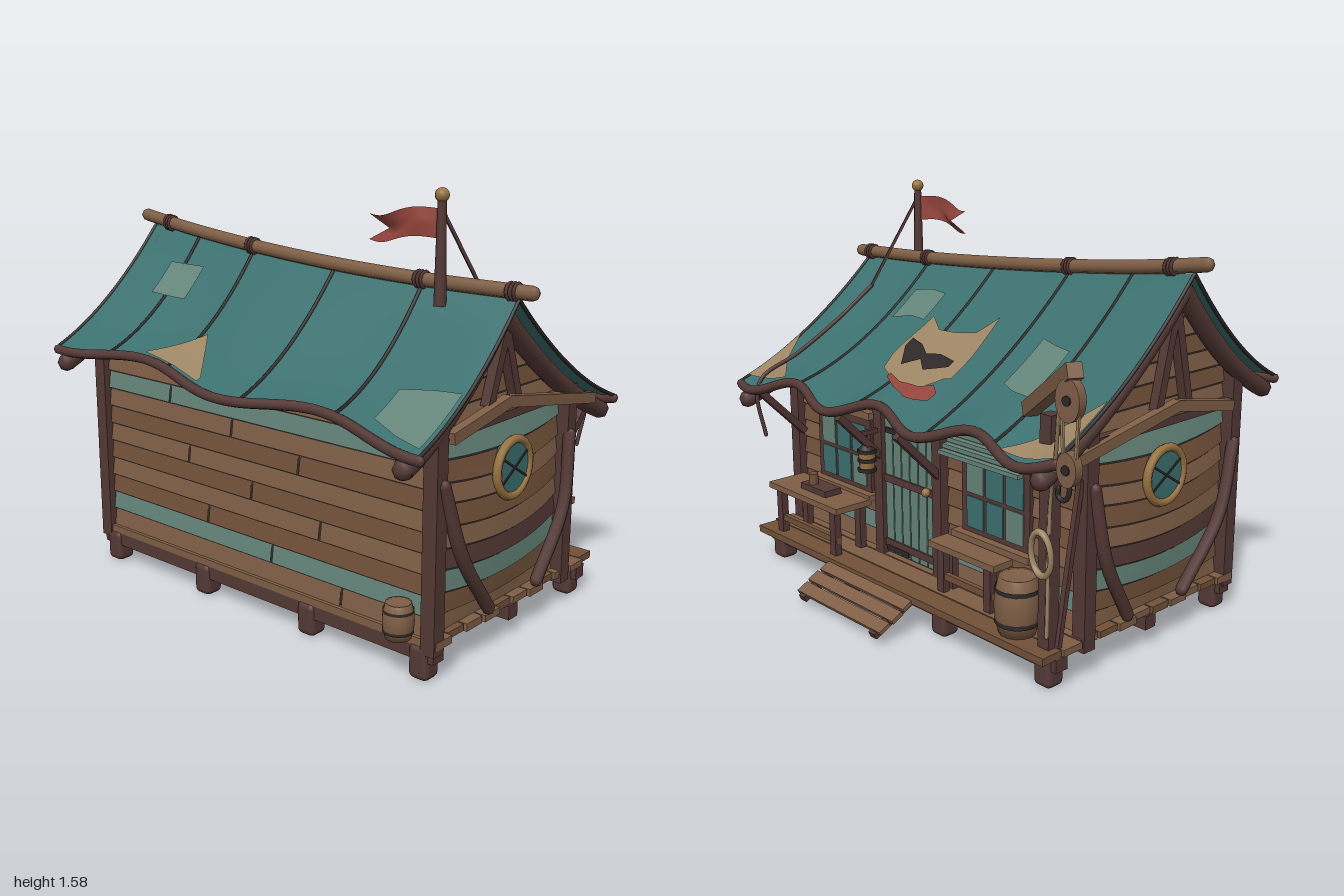
import * as THREE from 'three';
import { RoundedBoxGeometry } from 'three/addons/geometries/RoundedBoxGeometry.js';

const paint = (name, color) => {
  const m = new THREE.MeshStandardMaterial({ color, side: THREE.DoubleSide });
  m.name = name;
  return m;
};
const M = {
  teal: paint('roof teal', 0x3b706f), pale: paint('pale teal', 0x648479), wood: paint('warm wood', 0x7f5f46),
  wood2: paint('brown wood', 0x725239), dark: paint('dark wood', 0x543935), cloth: paint('tan cloth', 0x9c8563),
  gold: paint('brass', 0x9a7340), red: paint('flag red', 0x93443b), black: paint('soot', 0x2e2928),
};
const V = (x, y, z) => new THREE.Vector3(x, y, z);
const { lerp, clamp } = THREE.MathUtils;

// Roof rules: a sagging sheet between a rising ridge and two wavy eaves
const BACK = -0.83, FRONT = 0.95;
const along = z => clamp((FRONT - z) / (FRONT - BACK), 0, 1);
const ridgeX = z => -0.145 - 0.03 * Math.sin(Math.PI * along(z));
const ridgeY = z => 1.235 + 0.12 * along(z) ** 1.9;
const wave = (s, z) => s > 0 ? Math.cos(2 * Math.PI * (z - 0.35) / 0.52) : Math.cos(2 * Math.PI * (z - 0.93) / 0.87);
const eaveX = (s, z) => s > 0 ? 0.53 + 0.025 * wave(s, z) : -0.64 - 0.03 * wave(s, z);
function roofY(x, z) {
  const s = x > ridgeX(z) ? 1 : -1, k = along(z);
  const t = clamp((x - ridgeX(z)) / (eaveX(s, z) - ridgeX(z)), 0, 1);
  const eave = s > 0 ? 0.8 + 0.04 * k : 0.845 + 0.09 * k;
  return lerp(ridgeY(z), eave, t) - 0.22 * t * (1 - t) - (s > 0 ? 0.03 : 0.02) * wave(s, z) * t * t;
}

export function createModel() {
  const root = new THREE.Group();
  root.name = 'cottage';
  const add = (name, geo, mat, x = 0, y = 0, z = 0) => {
    const m = new THREE.Mesh(geo, mat);
    m.name = name;
    m.position.set(x, y, z);
    root.add(m);
    return m;
  };
  const box = (name, mat, x0, x1, y0, y1, z0, z1) =>
    add(name, new THREE.BoxGeometry(x1 - x0, y1 - y0, z1 - z0), mat, (x0 + x1) / 2, (y0 + y1) / 2, (z0 + z1) / 2);
  const bar = (name, mat, a, b, w, h = w) => {
    const m = add(name, new THREE.BoxGeometry(w, h, a.distanceTo(b)), mat);
    m.position.copy(a).lerp(b, 0.5);
    m.lookAt(b);
    return m;
  };
  const tube = (name, mat, pts, r, n = 24, sides = 8) => {
    add(name, new THREE.TubeGeometry(new THREE.CatmullRomCurve3(pts), n, r, sides), mat);
    for (const p of [pts[0], pts[pts.length - 1]]) add(name + 'End', new THREE.SphereGeometry(r, 8, 4), mat, p.x, p.y, p.z);
  };
  // Grid surface from a rule f(u, v)
  const sheet = (name, mat, f, nu, nv) => {
    const pos = [], idx = [];
    for (let j = 0; j <= nv; j++) for (let i = 0; i <= nu; i++) pos.push(...f(i / nu, j / nv));
    for (let j = 0; j < nv; j++) for (let i = 0; i < nu; i++) {
      const a = j * (nu + 1) + i, b = a + nu + 1;
      idx.push(a, b, a + 1, b, b + 1, a + 1);
    }
    const g = new THREE.BufferGeometry();
    g.setAttribute('position', new THREE.Float32BufferAttribute(pos, 3));
    g.setIndex(idx);
    g.computeVertexNormals();
    return add(name, g, mat);
  };

  // Cloth roof, edge trims and rafters
  for (const s of [-1, 1]) {
    sheet('roof', M.teal, (u, v) => {
      const z = lerp(FRONT, BACK, v), x = lerp(ridgeX(z), eaveX(s, z), u) + s * 1e-5;
      return [x, roofY(x, z), z];
    }, 14, 64);
    const line = (z, dy, n = 8) => Array.from({ length: n + 1 }, (_, i) => {
      const x = lerp(ridgeX(z), eaveX(s, z), i / n) + s * 1e-5;
      return V(x, roofY(x, z) + dy, z);
    });
    tube('eaveTrim', M.dark, Array.from({ length: 40 }, (_, i) => {
      const z = lerp(FRONT, BACK, i / 39), x = eaveX(s, z);
      return V(x, roofY(x, z) - 0.012, z);
    }), 0.019, 80);
    for (const z of [FRONT, BACK]) tube('roofHem', M.black, line(z, 0), 0.007, 24, 6);
    for (const z of [0.89, -0.78]) tube('rafter', M.dark, line(z, -0.055), 0.036);
    for (const z of [0.57, 0.18, -0.235, -0.55]) tube('roofSeam', M.black, line(z, 0), 0.007, 24, 5);
  }
  // Ridge pole with lashings
  const ridgeAt = z => V(ridgeX(z), ridgeY(z) + 0.025, z);
  tube('ridgePole', M.wood, [1, 0.6, 0.2, -0.2, -0.6, -0.88].map(z => ridgeAt(z).add(V(0, z < -0.83 ? 0.01 : 0, 0))), 0.026);
  for (const z of [0.93, 0.57, -0.235, -0.73]) for (const d of [-0.014, 0, 0.014]) {
    const p = ridgeAt(z + d);
    add('lashing', new THREE.TorusGeometry(0.027, 0.007, 5, 14), M.dark, p.x, p.y, p.z);
  }
  // Cloth patches given as rows of [z, x0, x1] laid on the roof
  const patch = (name, mat, rows, lift = 0.01) => sheet(name, mat, (u, v) => {
    const f = v * (rows.length - 1), i = Math.min(Math.floor(f), rows.length - 2), t = f - i;
    const [z, x0, x1] = rows[i].map((n, k) => lerp(n, rows[i + 1][k], t));
    const x = lerp(x0, x1, u);
    return [x, roofY(x, z) + lift, z];
  }, 8, (rows.length - 1) * 6);
  patch('palePatch', M.pale, [[-0.51, 0.12, 0.32], [-0.42, 0.1, 0.31], [-0.345, 0.08, 0.28]]);
  patch('palePatch', M.pale, [[0.33, -0.05, 0.07], [0.42, -0.06, 0.06], [0.52, -0.05, 0.08]]);
  patch('palePatch', M.pale, [[-0.62, -0.36, -0.25], [-0.44, -0.35, -0.24]]);
  patch('palePatch', M.pale, [[0.71, -0.59, -0.46], [0.83, -0.63, -0.44], [0.935, -0.65, -0.43]]);
  patch('tanPatch', M.cloth, [[-0.38, -0.6, -0.59], [-0.2, -0.62, -0.45], [-0.05, -0.65, -0.63]]);
  patch('tanPatch', M.cloth, [[-0.825, 0.28, 0.53], [-0.7, 0.44, 0.54], [-0.6, 0.53, 0.54]]);
  patch('tanPatch', M.cloth, [[0.945, 0.24, 0.51], [0.85, 0.38, 0.5], [0.7, 0.49, 0.505]]);
  patch('facePatch', M.cloth, [[0.32, 0.19, 0.24], [0.29, 0.05, 0.31], [0.2, 0.1, 0.35], [0.1, 0.1, 0.39],
    [0, 0.09, 0.38], [-0.06, 0.02, 0.31], [-0.09, 0.2, 0.3]], 0.013);
  patch('maskPatch', M.black, [[0.29, 0.16, 0.2], [0.21, 0.18, 0.29], [0.14, 0.22, 0.25], [0.07, 0.21, 0.3], [-0.03, 0.23, 0.26]], 0.018);
  patch('scarfPatch', M.red, [[0.21, 0.34, 0.36], [0.1, 0.385, 0.42], [0, 0.38, 0.45], [-0.05, 0.35, 0.44], [-0.1, 0.38, 0.42]], 0.018);

  // End walls: bulging planks under the roof line
  const bands = [[0.15, M.wood], [0.22, M.wood2], [0.3, M.pale], [0.38, M.dark], [0.455, M.wood], [0.53, M.wood2], [0.61, M.wood],
    [0.68, M.wood2], [0.755, M.pale], [0.84, M.wood], [0.91, M.wood2], [0.98, M.wood], [1.05, M.wood2], [1.12, M.wood], [1.19, M.wood2], [1.26, M.wood], [1.34]];
  for (const dir of [1, -1]) {
    const z0 = dir > 0 ? 0.86 : -0.73;
    const plank = (name, mat, y0, y1, out, nv) => sheet(name, mat, (u, v) => {
      const k = u * 2 - 1, b = 1 - k * k, x = -0.1 + 0.39 * k, y = lerp(y0, y1, v);
      const sag = 0.03 * b * clamp((0.9 - y) / 0.2, 0, 1) * clamp((y - 0.15) / 0.1, 0, 1);
      const bulge = 0.045 * b * Math.sin(Math.PI * clamp((y - 0.15) / 0.75, 0, 1));
      return [x, Math.min(y - sag, roofY(x, z0) - 0.02), z0 + dir * (bulge + out * (1 - v * 0.7))];
    }, 24, nv);
    plank('wallBacking', M.black, 0.15, 1.34, -0.006, 30);
    for (let i = 0; i + 1 < bands.length; i++) plank('endPlank', bands[i][1], bands[i][0], bands[i + 1][0] - 0.008, 0.014, 3);

    // Round window
    const zw = z0 + dir * 0.055;
    add('windowRing', new THREE.TorusGeometry(0.1, 0.016, 8, 28), M.gold, -0.085, 0.645, zw);
    const glass = add('roundGlass', new THREE.CylinderGeometry(0.1, 0.1, 0.03, 28), M.teal, -0.085, 0.645, zw - dir * 0.01);
    glass.rotation.x = Math.PI / 2;
    for (const s of [-1, 1]) bar('windowCross', M.black, V(-0.165, 0.645 - s * 0.05, zw + dir * 0.006), V(-0.005, 0.645 + s * 0.05, zw + dir * 0.006), 0.007);

    // Timber frame of the gable
    const zp = z0 + dir * 0.03, zb = z0 + dir * 0.055, top = ridgeY(z0) - 0.11;
    for (const x of [-0.5, 0.3]) box('cornerPost', M.dark, x - 0.028, x + 0.028, 0.1, roofY(x, z0) - 0.03, zp - 0.028, zp + 0.028);
    tube('curvedBrace', M.dark, [V(-0.49, 0.68, zb), V(-0.4, 0.42, zb + dir * 0.015), V(-0.21, 0.17, zb)], 0.024);
    tube('curvedBrace', M.dark, [V(0.29, 0.68, zb), V(0.24, 0.42, zb + dir * 0.015), V(0.1, 0.17, zb)], 0.024);
    for (const x of [-0.22, -0.05]) bar('gableStrut', M.dark, V(-0.135, top, zp), V(x, 0.88, zp), 0.035);
    bar('tieBeam', M.wood, V(-0.46, 0.83, zb), V(-0.13, 0.89, zb), 0.035, 0.04);
    bar('tieBeam', M.wood, V(-0.14, 0.89, zb), V(0.44, 0.79, zb), 0.035, 0.04);
    box('plate', M.dark, -0.5, 0.3, 0.82, 0.85, zp - 0.02, zp + 0.02);
  }

  // Long side walls
  const tones = [M.wood, M.pale, M.wood2, M.wood, M.wood2, M.wood, M.wood2, M.wood, M.pale, M.wood];
  for (const [x0, s] of [[-0.49, -1], [0.285, 1]]) {
    box('sideBacking', M.black, x0 - 0.004, x0 + 0.004, 0.15, 0.84, -0.73, 0.86);
    tones.forEach((mat, i) => {
      const y0 = 0.15 + i * 0.073, cut = 0.5 - ((i * 0.37) % 1) * 0.9;
      for (const [a, b] of [[-0.73, cut - 0.004], [cut + 0.004, 0.86]]) sheet('sidePlank', mat, (u, v) =>
        [x0 + s * (0.016 - 0.009 * v), y0 + 0.066 * v, lerp(a, b, u)], 1, 1);
    });
  }

  // Deck, beams and feet
  for (let i = 0; i < 11; i++) {
    const x = -0.52 + i * 0.0955;
    box('deckPlank', i % 3 === 1 ? M.wood2 : M.wood, x, x + 0.09, 0.122 + (i % 2) * 0.003, 0.15, -0.79 + (i % 3) * 0.008, 0.92 - (i * 2 % 3) * 0.01);
  }
  for (const x of [-0.49, -0.04, 0.43]) box('floorBeam', M.dark, x - 0.028, x + 0.028, 0.07, 0.123, -0.78, 0.91);
  for (const x of [-0.49, 0.43]) for (const z of [0.85, 0.35, -0.19, -0.72])
    add('foot', new RoundedBoxGeometry(0.08, 0.125, 0.08, 2, 0.022), M.dark, x, 0.063, z);

  // Square windows, door and awning on the porch side
  for (const zc of [0.56, -0.335]) {
    box('windowFrame', M.dark, 0.28, 0.312, 0.36, 0.69, zc - 0.175, zc + 0.175);
    for (let c = 0; c < 3; c++) for (let r = 0; r < 2; r++) {
      const z = zc - 0.102 + c * 0.102, y = 0.455 + r * 0.135;
      box('pane', (c + 2 * r) % 4 === 0 ? M.pale : M.teal, 0.3, 0.316, y - 0.06, y + 0.06, z - 0.044, z + 0.044);
    }
    box('windowSill', M.wood, 0.28, 0.345, 0.35, 0.375, zc - 0.2, zc + 0.2);
    box('windowLintel', M.wood, 0.28, 0.33, 0.685, 0.715, zc - 0.19, zc + 0.19);
  }
  for (let i = 0; i < 4; i++) bar('awningSlat', M.pale, V(0.325 + i * 0.022, 0.745 - i * 0.019, -0.54), V(0.325 + i * 0.022, 0.745 - i * 0.019, -0.13), 0.026, 0.016);
  for (const z of [0.31, -0.04]) box('doorPost', M.dark, 0.28, 0.335, 0.15, 0.86, z - 0.025, z + 0.025);
  box('doorBacking', M.black, 0.28, 0.305, 0.15, 0.75, -0.02, 0.29);
  for (let i = 0; i < 6; i++) box('doorPlank', M.pale, 0.29, 0.318, 0.16, 0.74, -0.012 + i * 0.05, 0.032 + i * 0.05);
  for (const y of [0.2, 0.47]) box('doorRail', M.dark, 0.3, 0.325, y - 0.015, y + 0.015, -0.015, 0.285);
  for (const y of [0.18, 0.67]) box('hinge', M.black, 0.3, 0.328, y - 0.01, y + 0.01, 0.14, 0.27);
  add('doorKnob', new THREE.SphereGeometry(0.018, 10, 8), M.gold, 0.335, 0.475, 0.02);
  box('porchPlate', M.dark, 0.28, 0.33, 0.76, 0.8, -0.73, 0.88);

  // Porch braces, back post and step ramp
  for (const z of [0.85, 0.31, -0.04]) bar('eaveBrace', M.dark, V(0.31, 0.54, z), V(0.52, 0.75, z), 0.028);
  bar('porchPost', M.dark, V(0.445, 0.15, -0.73), V(0.445, 0.96, -0.73), 0.05);
  bar('porchPost', M.dark, V(0.43, 0.15, -0.76), V(0.33, 0.72, -0.76), 0.02);
  for (let i = 0; i < 3; i++) {
    const x = 0.54 + i * 0.055, y = 0.118 - i * 0.028;
    box('stepPlank', M.wood, -0.026, 0.026, -0.008, 0.008, -0.115 - (i % 2) * 0.01, 0.4).position.set(x, y, 0.145);
    root.children[root.children.length - 1].rotation.z = -0.47;
  }
  for (const z of [-0.075, 0.365]) bar('stepRail', M.dark, V(0.5, 0.12, z), V(0.68, 0.035, z), 0.035, 0.025);

  // Table with small things, and a side bench
  const table = (z0, z1, x1, y) => {
    box('tableTop', M.wood, 0.335, x1, y - 0.025, y, z0, z1);
    box('tableStretcher', M.wood2, x1 - 0.04, x1 - 0.02, 0.2, 0.225, z0 + 0.03, z1 - 0.03);
    for (const x of [0.355, x1 - 0.03]) for (const z of [z0 + 0.05, z1 - 0.05]) box('tableLeg', M.dark, x - 0.015, x + 0.015, 0.15, y - 0.02, z - 0.018, z + 0.018);
  };
  table(0.36, 0.83, 0.51, 0.36);
  table(-0.45, -0.1, 0.43, 0.345);
  box('book', M.dark, 0.38, 0.46, 0.36, 0.385, 0.5, 0.67);
  add('mug', new THREE.CylinderGeometry(0.02, 0.02, 0.05, 10), M.wood2, 0.43, 0.405, 0.62);

  // Barrels
  const barrel = (x, y, z, r, h) => {
    const pts = [[0, 0], [0.8, 0], [0.95, 0.25], [1, 0.5], [0.95, 0.75], [0.8, 1], [0.7, 0.97], [0, 0.97]];
    add('barrel', new THREE.LatheGeometry(pts.map(p => new THREE.Vector2(p[0] * r, p[1] * h)), 14), M.wood, x, y, z);
    for (const t of [0.22, 0.78]) add('barrelHoop', new THREE.CylinderGeometry(r * 0.97, r * 0.97, h * 0.08, 14, 1, true), M.black, x, y + h * t, z);
  };
  barrel(0.44, 0.15, -0.58, 0.083, 0.21);
  barrel(-0.565, 0.155, 0.8, 0.055, 0.125);

  // Lantern
  bar('lanternArm', M.dark, V(0.31, 0.66, 0.315), V(0.41, 0.66, 0.315), 0.018);
  add('lanternGlass', new THREE.CylinderGeometry(0.034, 0.03, 0.07, 8), M.gold, 0.385, 0.545, 0.315);
  for (const y of [0.51, 0.55, 0.585]) add('lanternBand', new THREE.CylinderGeometry(0.038, 0.038, 0.014, 8), M.black, 0.385, y, 0.315);
  add('lanternCap', new THREE.ConeGeometry(0.036, 0.04, 8), M.black, 0.385, 0.61, 0.315);
  bar('lanternHook', M.black, V(0.385, 0.62, 0.315), V(0.385, 0.66, 0.315), 0.007);

  // Hoist arm, pulleys, hook, ropes and hanging ring
  bar('hoistArm', M.wood, V(0.38, 0.93, -0.57), V(0.59, 1.165, -0.96), 0.05, 0.05);
  for (const [y, r] of [[1.07, 0.055], [0.855, 0.045]]) {
    const rim = add('pulley', new THREE.CylinderGeometry(r, r, 0.032, 18), M.wood, 0.585, y, -0.94);
    rim.rotation.z = Math.PI / 2;
    rim.scale.z = 0.9;
    rim.scale.x = 1.25;
    const hub = add('pulleyHub', new THREE.CylinderGeometry(0.016, 0.016, 0.045, 10), M.black, 0.585, y, -0.94);
    hub.rotation.z = Math.PI / 2;
  }
  for (const z of [-0.975, -0.905]) bar('hoistRope', M.cloth, V(0.585, 1.06, z), V(0.585, 0.86, z + (z < -0.94 ? 0.01 : -0.01)), 0.009);
  tube('hook', M.black, [V(0.585, 0.81, -0.94), V(0.585, 0.775, -0.94), V(0.585, 0.75, -0.92), V(0.585, 0.76, -0.895), V(0.585, 0.785, -0.895)], 0.008, 16, 6);
  tube('tieRope', M.cloth, [V(0.58, 1.06, -0.89), V(0.52, 0.83, -0.82), V(0.475, 0.68, -0.76), V(0.475, 0.2, -0.75)], 0.007, 24, 6);
  const ring = add('hangingRing', new THREE.TorusGeometry(0.075, 0.013, 8, 24), M.cloth, 0.49, 0.495, -0.735);
  ring.rotation.set(0, Math.PI / 2, 0.12);
  ring.scale.x = 0.6;

  // Flagpole, flag and guy rope
  add('flagPole', new THREE.CylinderGeometry(0.015, 0.022, 0.36, 10), M.dark, -0.2, 1.37, 0.675);
  add('poleBall', new THREE.SphereGeometry(0.025, 12, 8), M.gold, -0.2, 1.56, 0.675);
  sheet('flag', M.red, (u, v) => {
    const notch = 0.09 * (1 - Math.abs(v * 2 - 1)) * u, h = lerp(0.05, 0.045, u);
    return [-0.2 - 0.035 * Math.sin(u * 4), 1.465 - 0.03 * u + (v * 2 - 1) * h + 0.012 * Math.sin(u * 6), 0.665 - 0.32 * u + notch];
  }, 14, 6);
  const onRoof = (x, z) => V(x, roofY(x, z) + 0.02, z);
  bar('guyRope', M.dark, V(-0.195, 1.5, 0.68), onRoof(-0.02, 0.78), 0.011);
  tube('guyRope', M.dark, [onRoof(-0.02, 0.78), onRoof(0.15, 0.8), onRoof(0.35, 0.82), onRoof(0.51, 0.84), V(0.54, 0.74, 0.84), V(0.52, 0.57, 0.82)], 0.008, 30, 6);
  return root;
}
